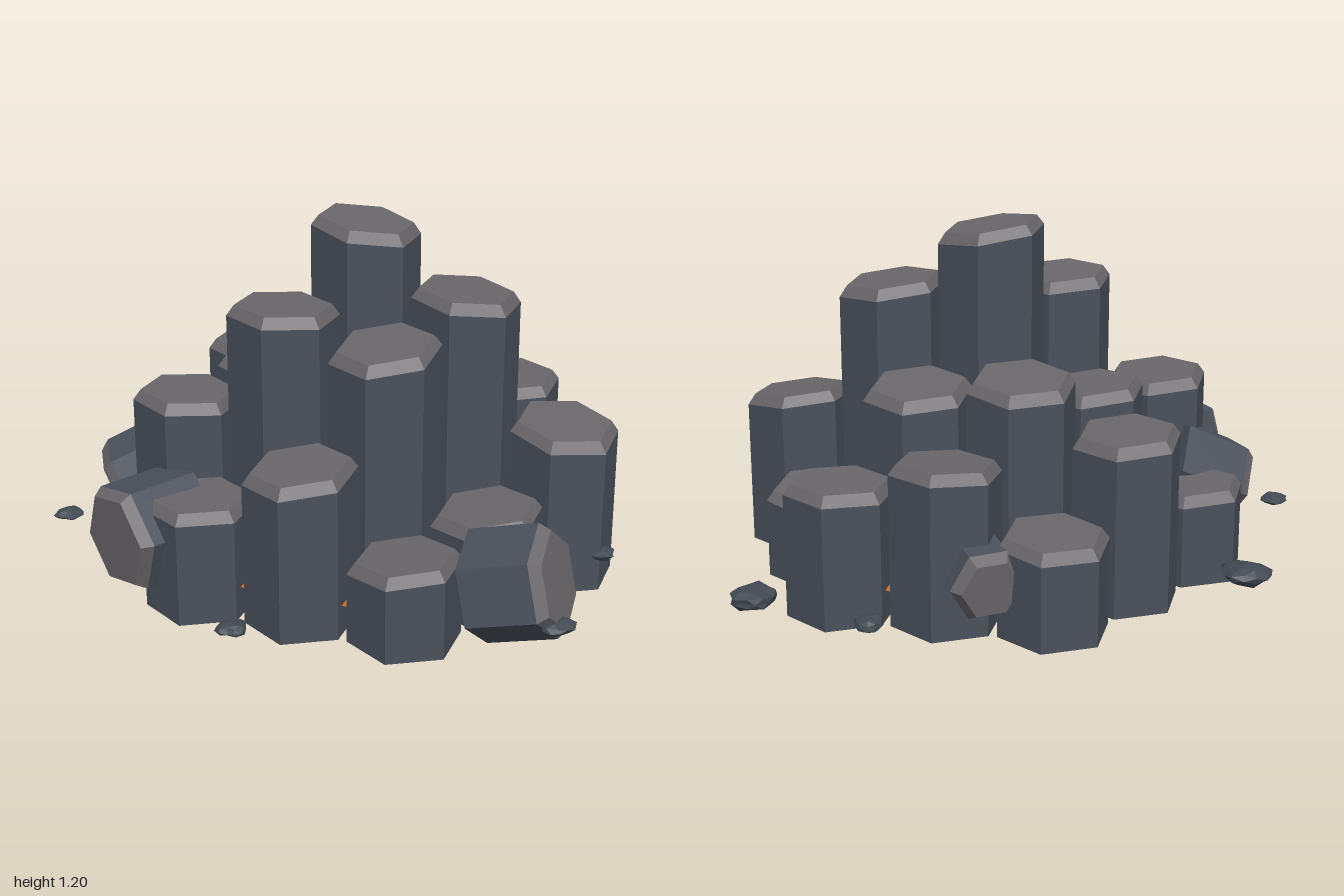
import * as THREE from 'three';
import { mergeGeometries } from 'three/addons/utils/BufferGeometryUtils.js';

const R = 0.185, INSET = 0.026, BEVEL = 0.036;
const CX = 0.055, CZ = 0.004, DX = 0.348, DZ = 0.304;

const flat = (g) => {
  const out = g.index ? g.toNonIndexed() : g;
  out.computeVertexNormals();
  return out;
};

// Hexagonal prism standing on y = 0: shaft plus a bevelled, tilted cap
function hexPrism(name, r, height, slopeX, slopeZ, mats, closed) {
  const shaftH = height - BEVEL;
  const tilt = (g) => {
    const p = g.attributes.position;
    for (let i = 0; i < p.count; i++) {
      if (p.getY(i) > 0.01) p.setY(i, p.getY(i) + slopeX * p.getX(i) + slopeZ * p.getZ(i));
    }
    return flat(g);
  };
  const shaft = new THREE.CylinderGeometry(r, r, shaftH, 6, 1, true).translate(0, shaftH / 2, 0);
  const rim = new THREE.CylinderGeometry(r - INSET, r, BEVEL, 6, 1, true).translate(0, shaftH + BEVEL / 2, 0);
  const face = new THREE.CircleGeometry(r - INSET, 6).rotateX(-Math.PI / 2).rotateY(Math.PI / 6).translate(0, height, 0);
  const parts = [tilt(shaft)];
  if (closed) parts.push(flat(new THREE.CircleGeometry(r, 6).rotateX(Math.PI / 2).rotateY(Math.PI / 6)));

  const group = new THREE.Group();
  group.name = name;
  const body = new THREE.Mesh(mergeGeometries(parts), mats.stone);
  body.name = 'shaft';
  const cap = new THREE.Mesh(mergeGeometries([tilt(rim), tilt(face)]), mats.cap);
  cap.name = 'cap';
  group.add(body, cap);
  return group;
}

// Small squashed stone with seeded bumps
function pebble(r, flatness, seed, mat) {
  const g = new THREE.IcosahedronGeometry(r, 1);
  const p = g.attributes.position;
  const v = new THREE.Vector3();
  for (let i = 0; i < p.count; i++) {
    v.fromBufferAttribute(p, i);
    const a = v.clone().divideScalar(r);
    const k = 0.9 + 0.17 * Math.sin(a.x * 3.1 + seed * 2.3) * Math.cos(a.z * 3.7 + seed) + 0.08 * Math.sin(a.y * 5 + seed);
    p.setXYZ(i, v.x * k, v.y * k * flatness, v.z * k);
  }
  const mesh = new THREE.Mesh(flat(g), mat);
  mesh.name = 'pebble';
  return mesh;
}

export function createModel() {
  const mats = {
    stone: new THREE.MeshStandardMaterial({ color: 0x4a505b, side: THREE.DoubleSide }),
    cap: new THREE.MeshStandardMaterial({ color: 0x6a676b }),
    lava: new THREE.MeshStandardMaterial({ color: 0xd46c28, side: THREE.DoubleSide }),
    pebble: new THREE.MeshStandardMaterial({ color: 0x434a53 }),
  };
  mats.stone.name = 'slate';
  mats.cap.name = 'greyCap';
  mats.lava.name = 'glowingOrange';
  mats.pebble.name = 'darkSlate';
  const model = new THREE.Group();
  model.name = 'basaltColumns';

  // Columns, back row to front row: [height, slope in x, slope in z]
  const rows = [
    [[0.33, 0.03, 0.04], [0.535, 0.02, -0.08], [0.445, 0.02, -0.03]],
    [[0.58, -0.03, 0.05], [0.735, 0.03, 0.1], [0.69, 0, 0.1], [0.305, 0.04, 0.07]],
    [[0.315, -0.04, 0], [0.64, -0.07, 0.02], [1.17, -0.14, 0.02], [0.965, -0.1, 0.03], [0.55, -0.11, -0.06]],
    [[0.61, -0.04, 0.04], [0.95, -0.03, 0.05], [0.86, 0.07, -0.11], [0.345, 0.1, -0.04]],
    [[0.38, 0.01, 0.03], [0.54, 0.08, -0.06], [0.285, 0.09, 0.02]],
  ];
  rows.forEach((row, j) => row.forEach(([h, sx, sz], i) => {
    const column = hexPrism('column', R, h, sx, sz, mats, false);
    column.position.set(CX + (i - (row.length - 1) / 2) * DX, 0, CZ + (j - 2) * DZ);
    model.add(column);
  }));

  // Glowing sheet between the columns
  const glow = new THREE.Mesh(new THREE.CircleGeometry(0.69, 24).rotateX(-Math.PI / 2), mats.lava);
  glow.name = 'lavaSheet';
  glow.position.set(CX, 0.105, CZ);
  model.add(glow);

  // Broken column pieces: [cap centre, axis, radius, length, roll]
  const pieces = [
    [[-0.54, 0.235, 0.74], [-0.5, -0.02, 0.86], 0.185, 0.28, 0.2],
    [[0.87, 0.235, 0.51], [0.95, 0.26, 0.02], 0.185, 0.27, 0.3],
    [[-0.745, 0.2, 0.31], [-0.75, -0.4, 0.4], 0.17, 0.28, 0.4],
    [[-0.135, 0.19, -0.77], [-0.55, -0.1, -0.8], 0.125, 0.24, 0.1],
  ];
  const up = new THREE.Vector3(0, 1, 0);
  for (const [end, dir, r, len, roll] of pieces) {
    const axis = new THREE.Vector3(...dir).normalize();
    const piece = hexPrism('brokenColumn', r, len, 0, 0, mats, true);
    piece.quaternion.setFromUnitVectors(up, axis);
    piece.rotateY(roll);
    piece.position.set(...end).addScaledVector(axis, -len);
    model.add(piece);
  }

  // Scattered pebbles: [x, z, radius]
  const pebbles = [
    [-0.87, -0.33, 0.09], [-0.89, 0.41, 0.052], [-0.04, 0.945, 0.052], [0.205, -0.945, 0.054],
    [0.61, -0.865, 0.082], [0.91, 0.07, 0.052], [0.89, 0.6, 0.06],
  ];
  pebbles.forEach(([x, z, r], i) => {
    const stone = pebble(r, 0.42, i + 1, mats.pebble);
    stone.position.set(x, 0.105 + r * 0.36, z);
    stone.rotation.y = i * 1.3;
    model.add(stone);
  });
  return model;
}
